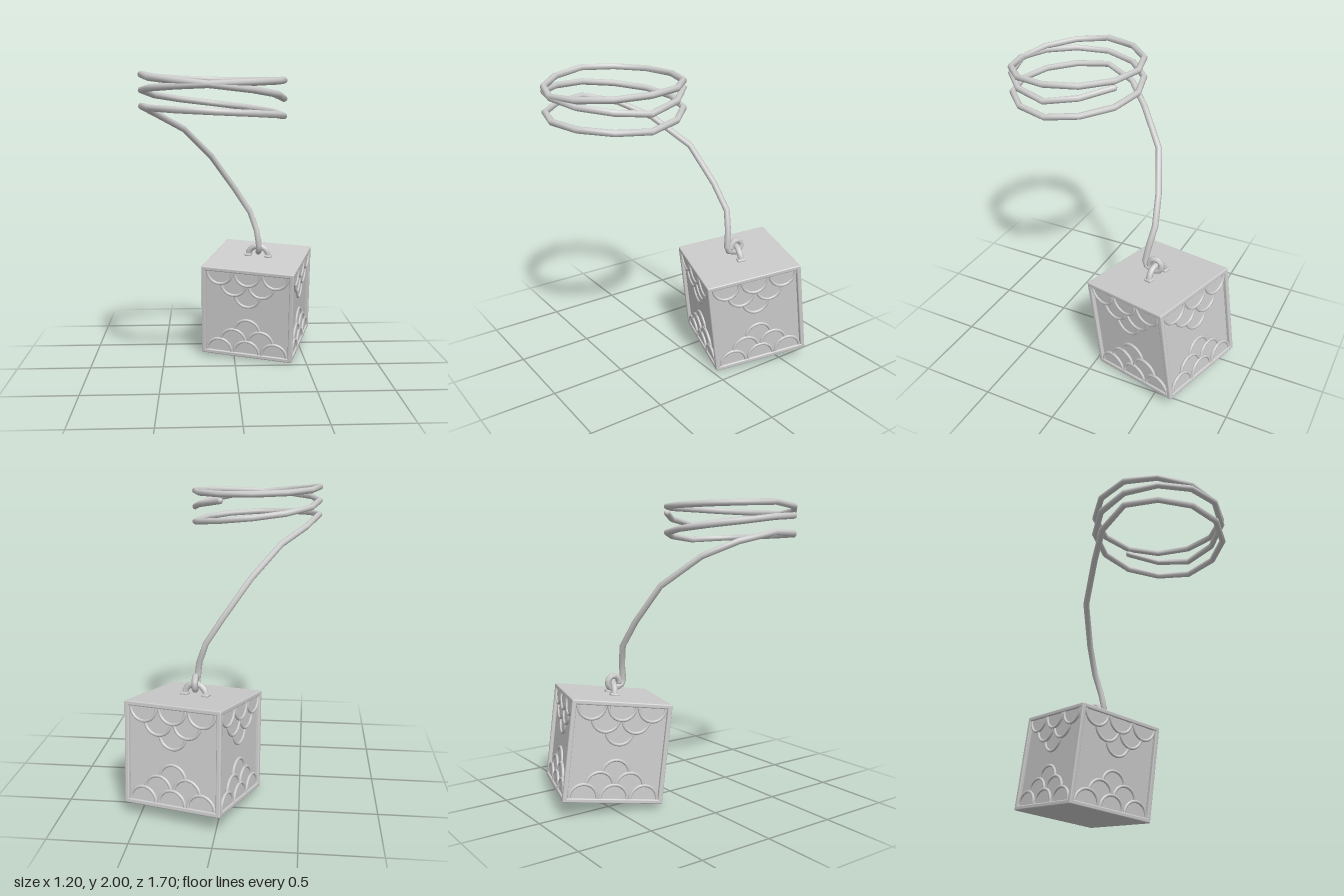
import * as THREE from 'three';
import { RoundedBoxGeometry } from 'three/addons/geometries/RoundedBoxGeometry.js';

const material = new THREE.MeshStandardMaterial({ color: 0xcccccc });
const SIZE = 0.66, RIM = 0.03, RECESS = 0.025;

function add(parent, name, geometry, x = 0, y = 0, z = 0) {
  const mesh = new THREE.Mesh(geometry, material);
  mesh.name = name;
  mesh.position.set(x, y, z);
  parent.add(mesh);
  return mesh;
}

// Tube whose rings sit exactly on the given points
function kinkedTube(points, radius) {
  const curve = new THREE.CatmullRomCurve3(points);
  curve.getPointAt = curve.getPoint;
  curve.getTangentAt = curve.getTangent;
  return new THREE.TubeGeometry(curve, points.length - 1, radius, 8);
}

// Pyramid of overlapping scales (3, 2, 1) rising from y = 0
function scalePyramid() {
  const group = new THREE.Group();
  group.name = 'scalePattern';
  for (let row = 0; row < 3; row++) {
    const count = 3 - row, depth = 0.014 - row * 0.005;
    for (let i = 0; i < count; i++) {
      const x = (i - (count - 1) / 2) * 0.2, y = row * 0.08;
      add(group, 'scaleFace', new THREE.CircleGeometry(0.092, 24, 0, row ? Math.PI * 2 : Math.PI), x, y, depth);
      add(group, 'scaleRim', new THREE.TorusGeometry(0.09, 0.01, 8, 16, Math.PI), x, y, depth);
    }
  }
  return group;
}

function createBox() {
  const box = new THREE.Group();
  box.name = 'box';
  const inner = SIZE - 2 * RECESS, edge = SIZE / 2 - RIM / 2;
  add(box, 'core', new THREE.BoxGeometry(inner, SIZE - RIM, inner));

  // Top and bottom plates, corner posts
  for (const s of [1, -1]) {
    add(box, s > 0 ? 'topPlate' : 'bottomPlate', new RoundedBoxGeometry(SIZE, RIM, SIZE, 2, 0.008), 0, s * edge, 0);
    for (const t of [1, -1])
      add(box, 'cornerPost', new RoundedBoxGeometry(RIM, SIZE, RIM, 2, 0.008), s * edge, 0, t * edge);
  }

  // Each side carries scales from below and, turned over, from above
  for (let k = 0; k < 4; k++) {
    const side = new THREE.Group();
    side.name = 'sidePanel';
    side.rotation.y = k * Math.PI / 2;
    for (const s of [1, -1]) {
      const scales = scalePyramid();
      scales.position.set(0, -s * (SIZE / 2 - RIM), SIZE / 2 - RECESS);
      if (s < 0) scales.rotation.z = Math.PI;
      side.add(scales);
    }
    box.add(side);
  }

  // Handle arch with small feet
  add(box, 'handleArch', new THREE.TorusGeometry(0.075, 0.021, 8, 10, Math.PI), 0, SIZE / 2, 0);
  for (const s of [1, -1])
    add(box, 'handleFoot', new RoundedBoxGeometry(0.05, 0.02, 0.058, 2, 0.008), s * 0.075, SIZE / 2 + 0.006, 0);
  return box;
}

function createCord() {
  const points = [];
  // Coil, from its lowest point on the right side round to the free end
  const heights = [1.79, 1.76, 1.73, 1.81, 1.885, 1.91, 1.945, 1.96, 1.978, 1.905, 1.835, 1.95];
  for (let i = 32; i >= 0; i--) {
    const a = i * Math.PI / 6, q = Math.floor(i / 3);
    const y = THREE.MathUtils.lerp(heights[q], heights[q + 1], (i % 3) / 3);
    points.push(new THREE.Vector3(-0.153 - 0.432 * Math.cos(a), y, 0.395 + 0.432 * Math.sin(a)));
  }
  // Hanging length down to the handle
  for (const p of [
    [-0.5, 1.735, 0.17], [-0.34, 1.64, 0], [-0.16, 1.45, -0.19], [0.01, 1.21, -0.27],
    [0.12, 1.04, -0.3], [0.165, 0.91, -0.28], [0.18, 0.8, -0.262], [0.183, 0.765, -0.275],
  ]) points.push(new THREE.Vector3(...p));
  // Loop round the crown of the handle
  for (let i = 0; i <= 8; i++) {
    const a = -0.9 - i * Math.PI / 4.6;
    points.push(new THREE.Vector3(0.183, 0.788 + 0.044 * Math.sin(a), -0.338 + 0.044 * Math.cos(a)));
  }
  const cord = new THREE.Group();
  cord.name = 'cord';
  add(cord, 'coiledCord', kinkedTube(points, 0.021));
  // Closed ends
  for (const p of [points[0], points[points.length - 1]])
    add(cord, 'cordEnd', new THREE.SphereGeometry(0.021, 8, 6), p.x, p.y, p.z);
  return cord;
}

export function createModel() {
  const model = new THREE.Group();
  model.name = 'hangingBox';
  const box = createBox();
  box.position.set(0.183, 0.384, -0.396);
  box.rotation.set(0.134, -0.314, 0);
  model.add(box, createCord());
  return model;
}
